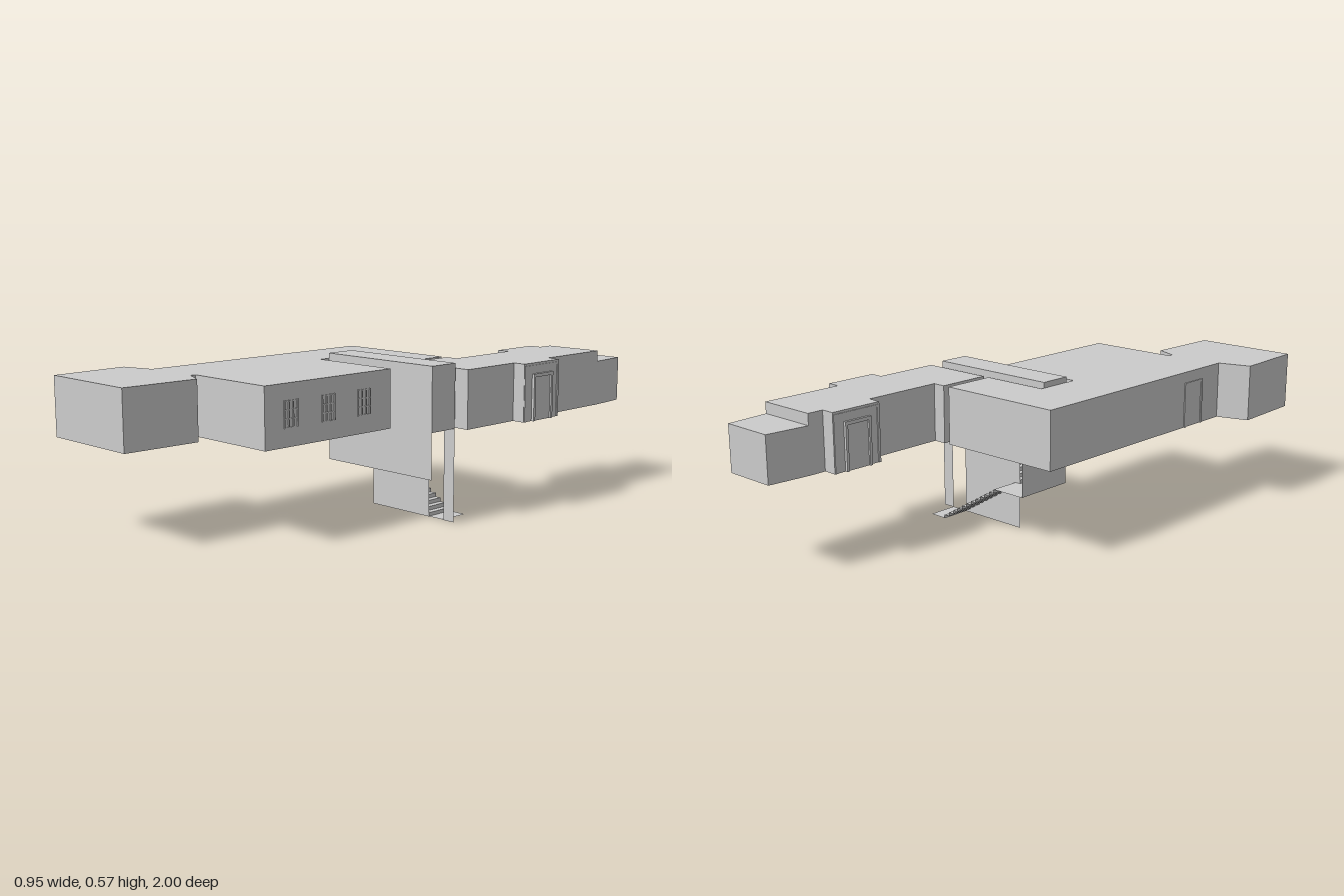
import * as THREE from 'three';
import { mergeGeometries } from 'three/addons/utils/BufferGeometryUtils.js';

const FLOOR = 0.336, ROOF = 0.546, LANDING = 0.17, TOP = 0.566;

export function createModel() {
  const model = new THREE.Group();
  const solid = new THREE.MeshStandardMaterial({ color: 0xcccccc, flatShading: true });
  const thin = new THREE.MeshStandardMaterial({ color: 0xcccccc, flatShading: true, side: THREE.DoubleSide });

  const add = (name, geometry, material = solid, parent = model) => {
    const mesh = new THREE.Mesh(geometry, material);
    mesh.name = name;
    parent.add(mesh);
    return mesh;
  };
  // Raise a floor plan given as [x, z] corners
  const storey = (name, plan, y0, y1) => {
    const shape = new THREE.Shape(plan.map(([x, z]) => new THREE.Vector2(x, z)));
    const g = new THREE.ExtrudeGeometry(shape, { depth: y1 - y0, bevelEnabled: false });
    g.rotateX(Math.PI / 2).translate(0, y1, 0);
    return add(name, g);
  };
  const box = (name, x0, x1, y0, y1, z0, z1, parent = model) =>
    add(name, new THREE.BoxGeometry(x1 - x0, y1 - y0, z1 - z0)
      .translate((x0 + x1) / 2, (y0 + y1) / 2, (z0 + z1) / 2), solid, parent);
  // Flat sheets facing z, x and y
  const sheetZ = (x0, x1, y0, y1, z) => new THREE.PlaneGeometry(x1 - x0, y1 - y0)
    .translate((x0 + x1) / 2, (y0 + y1) / 2, z);
  const sheetX = (x, y0, y1, z0, z1) => new THREE.PlaneGeometry(z1 - z0, y1 - y0)
    .rotateY(Math.PI / 2).translate(x, (y0 + y1) / 2, (z0 + z1) / 2);
  const sheetY = (x0, x1, y, z0, z1) => new THREE.PlaneGeometry(x1 - x0, z1 - z0)
    .rotateX(-Math.PI / 2).translate((x0 + x1) / 2, y, (z0 + z1) / 2);

  // Main wing with side room and flared end room
  storey('mainWing', [
    [-0.36, -0.28], [0.117, -0.28], [0.117, -0.08], [-0.142, -0.08], [-0.142, 0.09],
    [0.212, 0.09], [0.212, 0.66], [-0.142, 0.66], [-0.142, 0.68], [-0.06, 0.715],
    [-0.07, 1], [-0.466, 1], [-0.478, 0.715], [-0.36, 0.68],
  ], FLOOR, ROOF);

  // Narrow wing with a bay on each side
  storey('narrowWing', [
    [0.142, -0.08], [0.418, -0.08], [0.418, -0.33], [0.466, -0.33], [0.466, -0.53],
    [0.418, -0.53], [0.418, -0.84], [0.19, -0.84], [0.19, -0.78], [0.14, -0.78],
    [0.14, -0.58], [0.19, -0.58], [0.19, -0.28], [0.142, -0.28],
  ], FLOOR, ROOF);
  storey('endRoom', [[0.19, -0.84], [0.418, -0.84], [0.405, -1], [0.204, -1]], FLOOR, 0.505);
  box('wingConnector', 0.117, 0.142, FLOOR, 0.515, -0.23, -0.12);

  // Framed door on the outer face of each bay
  const bayDoor = (face, dir, z) => {
    const door = new THREE.Group();
    door.name = 'bayDoor';
    const slab = (name, depth, y0, y1, z0, z1) =>
      box(name, Math.min(face, face + dir * depth), Math.max(face, face + dir * depth),
        y0, y1, z + z0, z + z1, door);
    slab('doorPanel', 0.004, FLOOR, 0.505, -0.045, 0.045);
    slab('doorLintel', 0.01, 0.495, 0.507, -0.055, 0.055);
    for (const s of [-1, 1]) {
      const a = s * 0.045, b = s * 0.055;
      slab('doorJamb', 0.01, FLOOR, 0.495, Math.min(a, b), Math.max(a, b));
      const c = s * 0.088, d = s * 0.098;
      slab('bayTrim', 0.003, FLOOR, 0.53, Math.min(c, d), Math.max(c, d));
    }
    slab('bayTrim', 0.003, 0.53, 0.538, -0.098, 0.098);
    model.add(door);
  };
  bayDoor(0.466, 1, -0.43);
  bayDoor(0.14, -1, -0.68);

  // Barred windows along the side room
  for (const z of [0.22, 0.385, 0.55]) {
    const win = new THREE.Group();
    win.name = 'window';
    for (let i = 0; i < 4; i++) {
      const dz = z - 0.028 + i * 0.0187, y = 0.4 + i * 0.029;
      box('windowBar', 0.21, 0.216, 0.4, 0.49, dz - 0.002, dz + 0.002, win);
      box('windowRail', 0.21, 0.215, y - 0.002, y + 0.002, z - 0.029, z + 0.029, win);
    }
    model.add(win);
  }

  // Door in the long outer wall
  const sideDoor = new THREE.Group();
  sideDoor.name = 'sideDoor';
  box('doorLeaf', -0.361, -0.358, FLOOR, 0.495, 0.475, 0.565, sideDoor);
  box('doorLintel', -0.364, -0.358, 0.495, 0.505, 0.465, 0.575, sideDoor);
  for (const z of [0.465, 0.565]) box('doorJamb', -0.364, -0.358, FLOOR, 0.495, z, z + 0.01, sideDoor);
  model.add(sideDoor);

  // Stair tower: two flights with a turn, enclosed by thin walls
  const xA = -0.14, xB = -0.025, xC = 0.255, xD = 0.372, zBack = -0.18, zMid = -0.066, zFront = 0.052;
  add('stairTowerWalls', mergeGeometries([
    sheetZ(xA, xD, LANDING, TOP, zFront),
    sheetZ(xA, xD, FLOOR, TOP, zMid),
    sheetX(xD, FLOOR, TOP, zMid, zFront),
    sheetX(xA, LANDING, TOP, zMid, zFront),
    sheetX(xA, LANDING, FLOOR, zBack, zMid),
  ]), thin);
  add('stairTowerRoof', sheetY(xA, xD, TOP, zMid, zFront), thin);
  add('stairDividerWall', mergeGeometries([
    sheetZ(xB, xC, 0, FLOOR, zMid),
    sheetZ(0.324, xD, 0, FLOOR, zMid),
  ]), thin);
  add('landings', mergeGeometries([
    sheetY(xA, xB, LANDING, zBack, zFront),
    sheetY(xC, xD, FLOOR, zMid, zFront),
    sheetY(xC, 0.324, 0.001, zBack, zMid),
  ]), thin);

  const flight = (name, x0, x1, y0, y1, z0, z1, steps = 12) => {
    const parts = [], run = (x1 - x0) / steps, rise = (y1 - y0) / steps;
    for (let i = 0; i < steps; i++) {
      const x = x0 + run * i, y = y0 + rise * i;
      parts.push(sheetX(x, y, y + rise, z0, z1));
      parts.push(sheetY(Math.min(x, x + run), Math.max(x, x + run), y + rise, z0, z1));
    }
    add(name, mergeGeometries(parts), thin);
  };
  flight('lowerFlight', xC, xB, 0, LANDING, zBack, zMid);
  flight('upperFlight', xB, xC, LANDING, FLOOR, zMid, zFront);

  return model;
}
